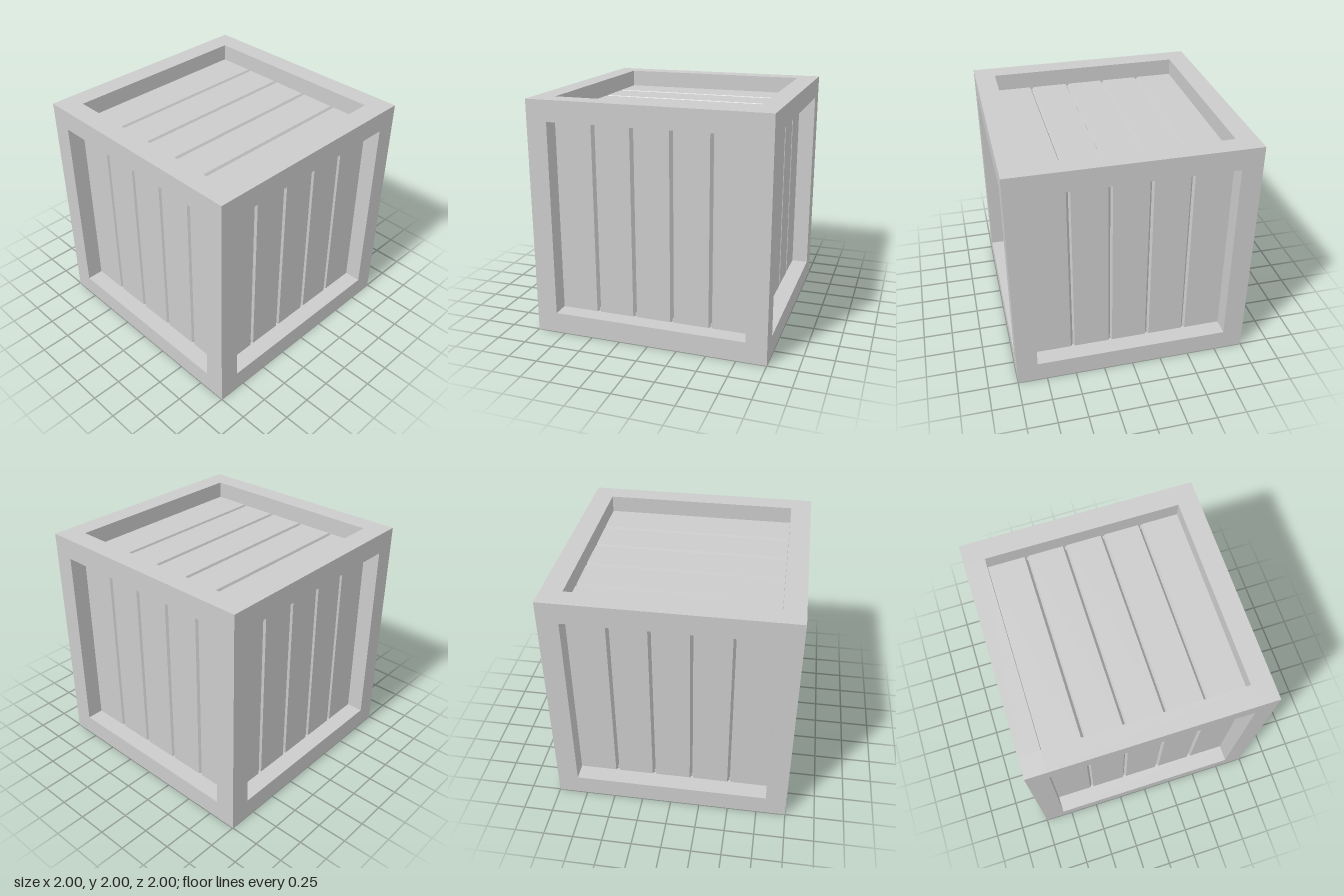
import * as THREE from 'three';

const SIZE = 2, BEAM = 0.175, FACE = 0.855;   // overall size, beam section, panel distance from centre
const INNER = SIZE / 2 - BEAM;                // half the opening between beams
const MID = SIZE / 2 - BEAM / 2;              // beam centre line
const PLANKS = 5, GROOVE = 0.017, GROOVE_DEPTH = 0.03;

const material = new THREE.MeshStandardMaterial({ color: 0xcccccc, flatShading: true });

// Panel of planks facing +z, separated by V grooves running along y
function plankPanelGeometry() {
  const half = INNER + 0.01, back = FACE - 0.06;
  const shape = new THREE.Shape();
  shape.moveTo(-half, back);
  shape.lineTo(half, back);
  shape.lineTo(half, FACE);
  for (let i = PLANKS - 1; i > 0; i--) {
    const x = -INNER + (i * 2 * INNER) / PLANKS;
    shape.lineTo(x + GROOVE, FACE);
    shape.lineTo(x + 0.004, FACE - GROOVE_DEPTH);
    shape.lineTo(x - GROOVE, FACE);
  }
  shape.lineTo(-half, FACE);
  shape.closePath();
  const geometry = new THREE.ExtrudeGeometry(shape, { depth: 2 * half, bevelEnabled: false });
  return geometry.translate(0, 0, -half).rotateX(Math.PI / 2);
}

export function createModel() {
  const crate = new THREE.Group();
  crate.name = 'crate';

  const add = (name, geometry, x, y, z) => {
    const mesh = new THREE.Mesh(geometry, material);
    mesh.name = name;
    mesh.position.set(x, y, z);
    crate.add(mesh);
    return mesh;
  };

  // Corner posts, and rails fitted between them
  const post = new THREE.BoxGeometry(BEAM, SIZE, BEAM);
  const railX = new THREE.BoxGeometry(2 * INNER, BEAM, BEAM);
  const railZ = new THREE.BoxGeometry(BEAM, BEAM, 2 * INNER);
  for (const a of [-1, 1]) {
    for (const b of [-1, 1]) {
      const level = b > 0 ? 'top' : 'bottom';
      const y = SIZE / 2 + b * MID;
      add(`${b > 0 ? 'front' : 'back'}${a > 0 ? 'Left' : 'Right'}Post`, post, a * MID, SIZE / 2, b * MID);
      add(`${level}${a > 0 ? 'Front' : 'Back'}Rail`, railX, 0, y, a * MID);
      add(`${level}${a > 0 ? 'Left' : 'Right'}Rail`, railZ, a * MID, y, 0);
    }
  }

  // Recessed plank panels on all six sides
  const panel = plankPanelGeometry();
  const q = Math.PI / 2;
  const sides = [
    ['front', 0, 0], ['left', 0, q], ['back', 0, 2 * q], ['right', 0, -q],
    ['top', -q, 0], ['bottom', q, 0],
  ];
  for (const [name, rx, ry] of sides) {
    add(`${name}Panel`, panel, 0, SIZE / 2, 0).rotation.set(rx, ry, 0);
  }

  return crate;
}
